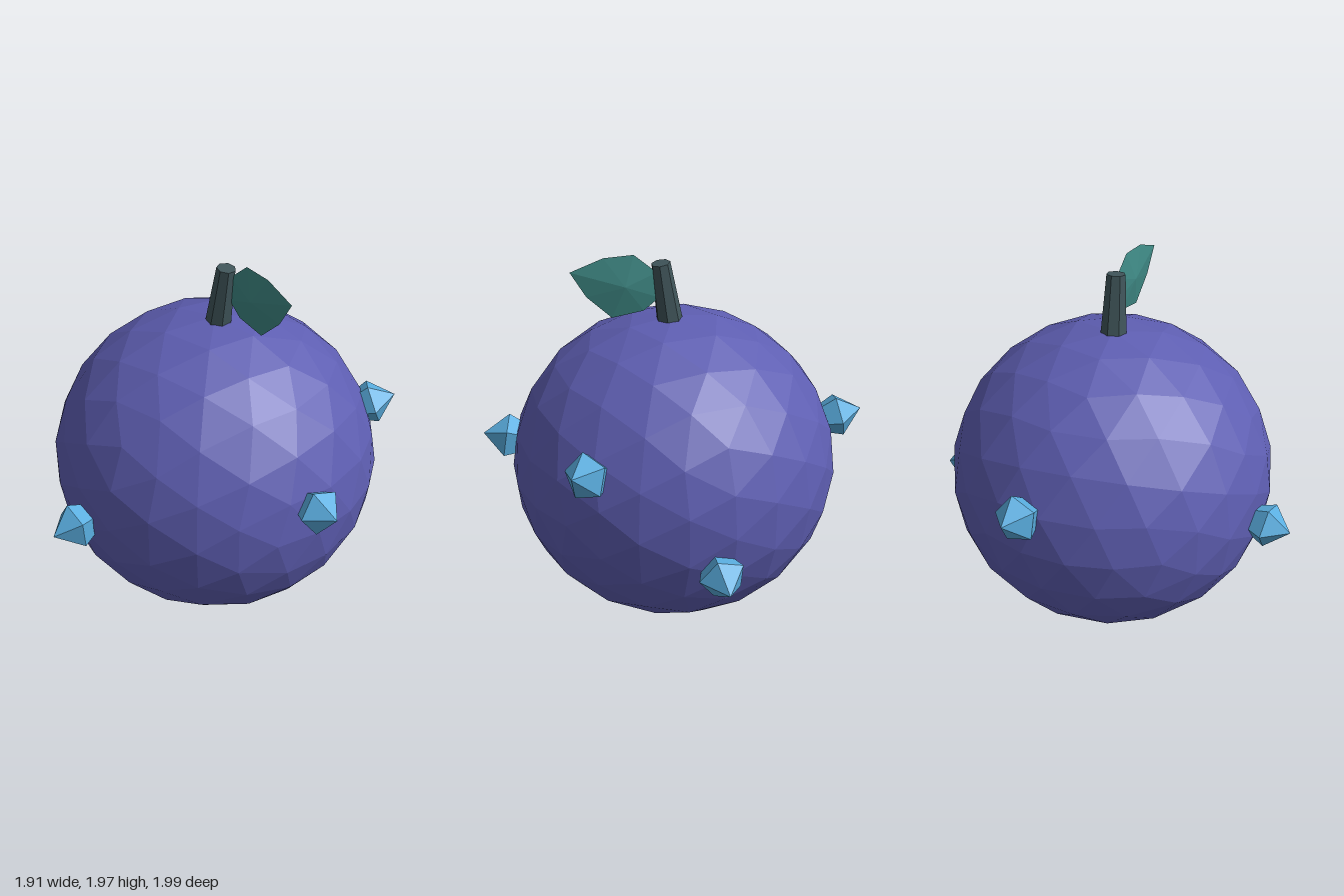
import * as THREE from 'three';
import { mergeGeometries } from 'three/addons/utils/BufferGeometryUtils.js';

const paint = (name, color) => {
  const m = new THREE.MeshStandardMaterial({ color, flatShading: true });
  m.name = name;
  return m;
};

const addMesh = (parent, name, geometry, material) => {
  const mesh = new THREE.Mesh(geometry, material);
  mesh.name = name;
  parent.add(mesh);
  return mesh;
};

const fromPoints = (points) => {
  const g = new THREE.BufferGeometry().setFromPoints(points);
  g.computeVertexNormals();
  return g;
};

// Sphere made by repeatedly halving the edges of an icosahedron
function icosphere(levels) {
  const pos = new THREE.IcosahedronGeometry(1, 0).getAttribute('position');
  let tris = [];
  for (let i = 0; i < pos.count; i++) tris.push(new THREE.Vector3().fromBufferAttribute(pos, i));
  const mid = (a, b) => a.clone().add(b).normalize();
  for (let l = 0; l < levels; l++) {
    const next = [];
    for (let i = 0; i < tris.length; i += 3) {
      const [a, b, c] = tris.slice(i, i + 3);
      const ab = mid(a, b), bc = mid(b, c), ca = mid(c, a);
      next.push(a, ab, ca, ab, b, bc, ca, bc, c, ab, bc, ca);
    }
    tris = next;
  }
  return fromPoints(tris);
}

// Five-sided gem: pointed cap over a tapering body, pointing along +z
function gemGeometry() {
  const cap = new THREE.ConeGeometry(0.118, 0.12, 5, 1, true).translate(0, 0.06, 0);
  const body = new THREE.CylinderGeometry(0.118, 0.08, 0.09, 5, 1, true).translate(0, -0.045, 0);
  const g = mergeGeometries([cap, body]).toNonIndexed();
  g.rotateX(Math.PI / 2).rotateZ(-Math.PI / 2);
  g.computeVertexNormals();
  return g;
}

// Flat leaf outline with a raised middle on both faces
function leafGeometry() {
  const outline = [
    [0.08, 1.75], [0.155, 1.685], [0.31, 1.655], [0.43, 1.77],
    [0.505, 1.9], [0.345, 1.965], [0.2, 1.975], [0.09, 1.88],
  ];
  const at = (x, y, dz = 0) => new THREE.Vector3(x, y, -0.01 + (x - 0.085) * 0.226 + dz);
  const rim = outline.map(([x, y]) => at(x, y));
  const front = at(0.25, 1.82, 0.027), back = at(0.25, 1.82, -0.027);
  const tris = [];
  rim.forEach((p, i) => {
    const q = rim[(i + 1) % rim.length];
    tris.push(front, p, q, back, q, p);
  });
  return fromPoints(tris);
}

export function createModel() {
  const model = new THREE.Group();
  model.name = 'fruit';
  const skin = paint('violet skin', 0x5e5eb2);
  const gemBlue = paint('gem blue', 0x5aaee0);
  const bark = paint('stem grey', 0x40555a);
  const leafGreen = paint('leaf teal', 0x3f8a86);

  // Slightly squashed body
  const center = new THREE.Vector3(0, 0.822, 0);
  const body = addMesh(model, 'body', icosphere(2), skin);
  body.scale.set(0.852, 0.818, 0.852);
  body.position.copy(center);

  // Leaning, tapered stem
  const stem = addMesh(model, 'stem', new THREE.CylinderGeometry(0.048, 0.07, 0.36, 7), bark);
  stem.position.set(0.041, 1.745, 0);
  stem.rotation.z = -0.147;

  addMesh(model, 'leaf', leafGeometry(), leafGreen);

  // Gems set in the skin, pointing outward
  const gem = gemGeometry();
  const spots = [
    [-0.21, 0.765, 0.88], [0.838, 0.98, 0.264], [-0.85, 1.045, -0.235],
    [0.637, 1.12, -0.525], [0.08, 0.64, -0.88],
  ];
  spots.forEach((p, i) => {
    const mesh = addMesh(model, `gem${i + 1}`, gem, gemBlue);
    mesh.position.set(...p);
    mesh.lookAt(mesh.position.clone().multiplyScalar(2).sub(center));
  });
  return model;
}
